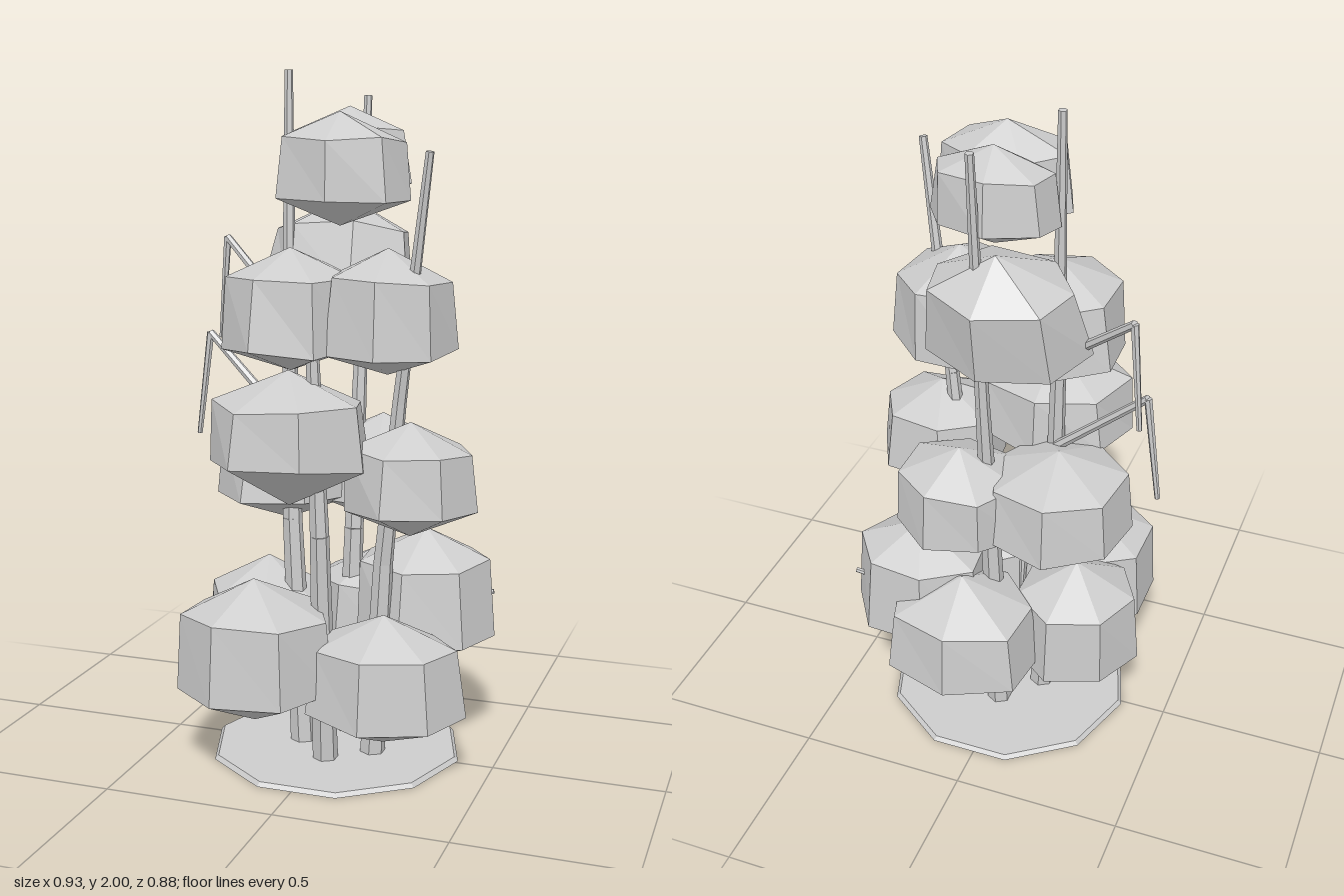
import * as THREE from 'three';

const clay = new THREE.MeshStandardMaterial({ color: 0xcccccc, flatShading: true });
clay.name = 'paleGrey';

// small seeded generator for the irregular clumps
let seed = 7;
const rand = () => {
  seed = (seed * 16807) % 2147483647;
  return seed / 2147483647;
};

// faceted clump: two rings of corners between a top and a bottom point
function clump(name, [x, y, z], [rx, ry, rz], yaw, low = -0.5, tilt = 0) {
  const sides = 7;
  const profile = [[0, -1], [1, low], [0.9, 0.52], [0, 1]];
  const geo = new THREE.LatheGeometry(profile.map(p => new THREE.Vector2(...p)), sides);
  const jitter = Array.from({ length: sides * 4 }, () => [0.98 + rand() * 0.1, (rand() - 0.5) * 0.12]);
  const pos = geo.attributes.position;
  for (let i = 0; i < pos.count; i++) {
    const row = i % 4;
    const col = Math.floor(i / 4) % sides;
    if (row === 0 || row === 3) continue;
    const [s, dy] = jitter[col * 4 + row];
    pos.setXYZ(i, pos.getX(i) * s, pos.getY(i) + dy, pos.getZ(i) * s);
  }
  geo.rotateY(THREE.MathUtils.degToRad(yaw));
  geo.scale(rx, ry, rz);
  geo.computeVertexNormals();
  const mesh = new THREE.Mesh(geo, clay);
  mesh.name = name;
  mesh.position.set(x, y, z);
  mesh.rotation.x = THREE.MathUtils.degToRad(tilt);
  return mesh;
}

// tapering rod through a few points
function rod(name, points, r0, r1) {
  const group = new THREE.Group();
  group.name = name;
  const pts = points.map(p => new THREE.Vector3(...p));
  const n = pts.length - 1;
  for (let i = 0; i < n; i++) {
    const dir = pts[i + 1].clone().sub(pts[i]);
    const a = THREE.MathUtils.lerp(r0, r1, i / n);
    const b = THREE.MathUtils.lerp(r0, r1, (i + 1) / n);
    const mesh = new THREE.Mesh(new THREE.CylinderGeometry(b, a, dir.length(), 6), clay);
    mesh.name = name + 'Section';
    mesh.position.copy(pts[i]).addScaledVector(dir, 0.5);
    mesh.quaternion.setFromUnitVectors(new THREE.Vector3(0, 1, 0), dir.normalize());
    group.add(mesh);
  }
  return group;
}

export function createModel() {
  const model = new THREE.Group();
  model.name = 'clumpedShrub';

  // ground disc
  const base = new THREE.Mesh(new THREE.CylinderGeometry(0.367, 0.378, 0.012, 10), clay);
  base.name = 'groundDisc';
  base.rotation.y = Math.PI / 2;
  base.position.set(0.014, 0.006, -0.012);
  model.add(base);

  // upright stems
  model.add(
    rod('leftStem', [[-0.09, 0.006, 0], [-0.125, 0.7, -0.01], [-0.14, 1.3, -0.03], [-0.147, 2, -0.055]], 0.038, 0.012),
    rod('backStem', [[0.01, 0.006, -0.12], [0.025, 0.65, -0.14], [0.03, 1.15, -0.18], [0.033, 1.93, -0.235]], 0.038, 0.012),
    rod('rightStem', [[0.137, 0.006, 0.02], [0.17, 0.6, 0.03], [0.225, 1.08, 0.065], [0.325, 1.78, 0.137]], 0.038, 0.012),
    rod('frontStem', [[0.02, 0.006, 0.11], [0.02, 0.7, 0.16], [0, 1.3, 0.17]], 0.038, 0.018)
  );

  // side branch and bent twigs
  model.add(
    rod('sideBranch', [[0.02, 0.35, -0.13], [0.445, 0.47, -0.21]], 0.016, 0.008),
    rod('upperTwig', [[-0.13, 1.27, -0.07], [-0.4, 1.51, -0.195], [-0.43, 1.2, -0.21]], 0.015, 0.008),
    rod('lowerTwig', [[-0.13, 0.96, -0.04], [-0.42, 1.23, -0.1], [-0.465, 0.915, -0.11]], 0.015, 0.008)
  );

  // foliage clumps, tier by tier: centre, half sizes, turn, lower ring level, tilt
  const tiers = {
    bottomClump: [
      [[-0.155, 0.365, 0.23], [0.23, 0.213, 0.208], 38],
      [[0.215, 0.3, 0.17], [0.225, 0.19, 0.18], 47, -0.53],
      [[0.25, 0.465, -0.145], [0.215, 0.205, 0.19], 44, -0.62],
      [[0.08, 0.38, -0.24], [0.237, 0.193, 0.2], 29],
      [[-0.215, 0.355, -0.05], [0.195, 0.213, 0.195], 15]
    ],
    middleClump: [
      [[-0.07, 0.98, 0.165], [0.23, 0.195, 0.2], 25, -0.33],
      [[0.265, 0.868, 0.085], [0.195, 0.165, 0.17], 40],
      [[0.1, 0.83, -0.19], [0.19, 0.17, 0.17], 10],
      [[-0.175, 0.84, -0.12], [0.212, 0.17, 0.21], 32]
    ],
    upperClump: [
      [[-0.02, 1.44, -0.155], [0.23, 0.205, 0.165], 20, -0.45, -13],
      [[-0.095, 1.335, 0.08], [0.2, 0.175, 0.195], 38, -0.62],
      [[0.185, 1.335, 0.05], [0.185, 0.178, 0.195], 5, -0.62]
    ],
    topClump: [
      [[0.06, 1.73, 0.1], [0.195, 0.155, 0.13], 0],
      [[0.022, 1.76, -0.1], [0.18, 0.14, 0.115], 30]
    ]
  };
  seed = 7;
  for (const [name, list] of Object.entries(tiers)) {
    for (const spec of list) model.add(clump(name, ...spec));
  }
  return model;
}
